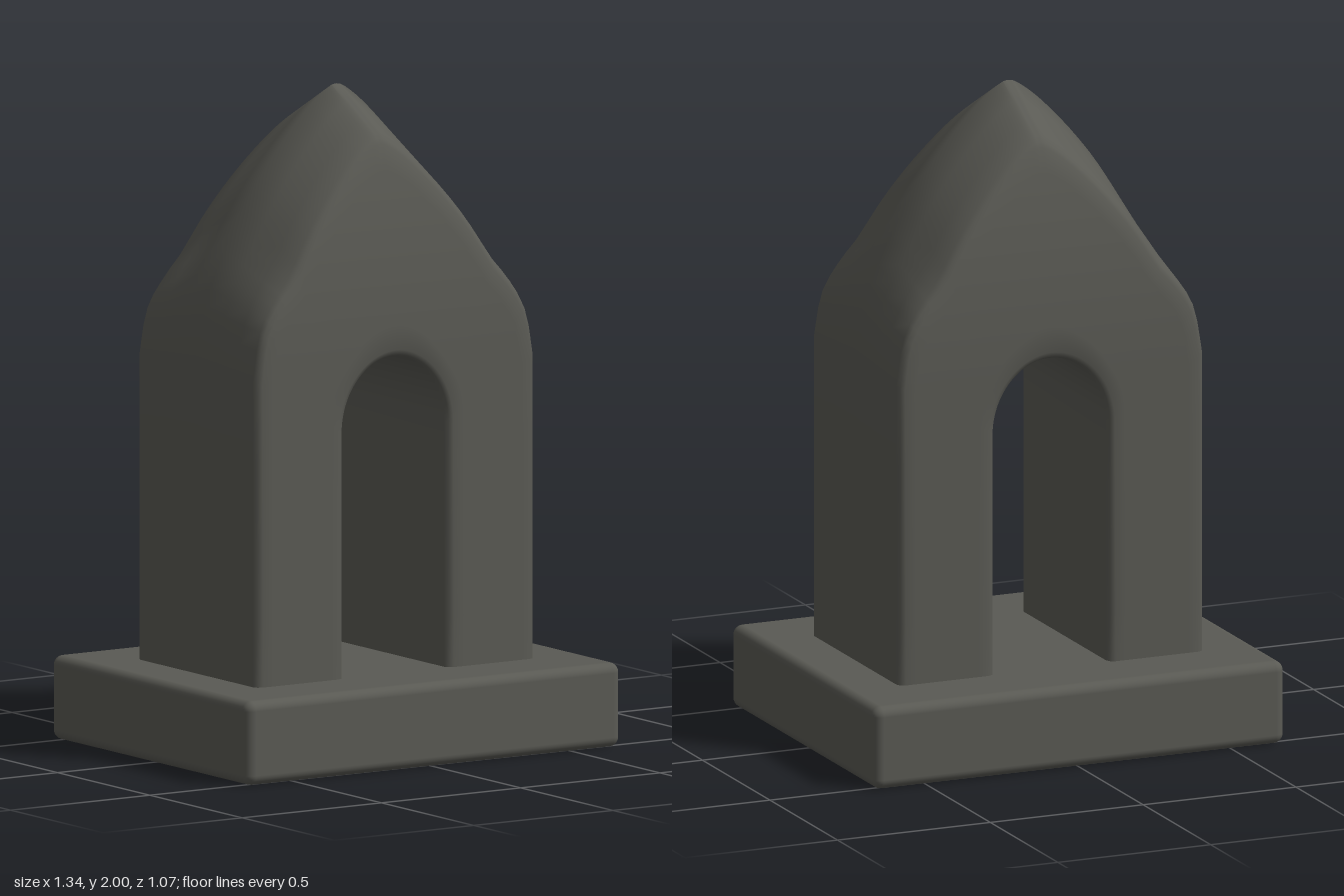
import * as THREE from 'three';
import { toCreasedNormals } from 'three/addons/utils/BufferGeometryUtils.js';
import { RoundedBoxGeometry } from 'three/addons/geometries/RoundedBoxGeometry.js';

const BEVEL = 0.022;

// Half thickness of the arch: straight legs, tapering towards the top
function halfDepth(y) {
  const t = Math.max(0, (y - 1.15) / 0.72);
  return 0.326 - 0.091 * Math.pow(t, 2.2);
}

// Matching stations along the opening and the outer outline, for the +x half
function halfStations() {
  const list = [0, 0.25, 0.5, 0.75].map((t) => ({
    inner: [0.186, 0.2 + 0.8 * t], outer: [0.5, 0.2 + 0.98 * t], drop: 0,
  }));
  const outline = new THREE.SplineCurve([
    [0.5, 1.18], [0.472, 1.36], [0.4, 1.53], [0.3, 1.7], [0.2, 1.83],
    [0.1, 1.935], [0.03, 1.99], [0, 2],
  ].map(([x, y]) => new THREE.Vector2(x, y)));
  const steps = 21;
  for (let i = 0; i <= steps; i++) {
    const t = i / steps;
    const a = (t * Math.PI) / 2;
    const p = outline.getPoint(t);
    list.push({
      inner: [0.186 * Math.cos(a), 1.0 + 0.213 * Math.sin(a)],
      outer: [p.x, p.y],
      drop: 0.13 * Math.min(1, Math.pow((0.5 - p.x) / 0.14, 0.8)),
    });
  }
  return list;
}

// Closed cross-section from opening to outer face, front half then mirrored back half
function section({ inner, outer, drop }) {
  const edge = [outer[0], outer[1] - drop];
  const length = Math.hypot(edge[0] - inner[0], edge[1] - inner[1]);
  const front = [];
  const facePoint = (u, inset) => {
    const y = inner[1] + (edge[1] - inner[1]) * u;
    front.push([inner[0] + (edge[0] - inner[0]) * u, y, halfDepth(y) - inset]);
  };
  const b = BEVEL / length;
  facePoint(0, BEVEL);
  facePoint(0.3 * b, 0.3 * BEVEL);
  for (let k = 0; k <= 8; k++) facePoint(b + (1 - 2 * b) * (k / 8), 0);
  facePoint(1 - 0.3 * b, 0.3 * BEVEL);
  // Outer surface rises from the front edge to the crown at z = 0
  const d = halfDepth(edge[1]);
  for (const f of [1 - BEVEL / d, 0.66, 0.33]) {
    front.push([outer[0], outer[1] - drop * f, d * f]);
  }
  const back = front.slice().reverse().map(([x, y, z]) => [x, y, -z]);
  return [...front, [outer[0], outer[1], 0], ...back];
}

function archGeometry() {
  const half = halfStations();
  const mirrored = half.slice(0, -1).reverse().map((s) => ({
    inner: [-s.inner[0], s.inner[1]], outer: [-s.outer[0], s.outer[1]], drop: s.drop,
  }));
  const rings = [...half, ...mirrored].map(section);
  const n = rings[0].length;
  const index = [];
  for (let i = 0; i < rings.length - 1; i++) {
    for (let j = 0; j < n; j++) {
      const a = i * n + j, b = i * n + ((j + 1) % n);
      index.push(a, b, b + n, a, b + n, a + n);
    }
  }
  const geometry = new THREE.BufferGeometry();
  geometry.setAttribute('position', new THREE.Float32BufferAttribute(rings.flat(2), 3));
  geometry.setIndex(index);
  return toCreasedNormals(geometry, 0.95);
}

export function createModel() {
  const stone = new THREE.MeshStandardMaterial({ color: 0x5a5a54 });
  stone.name = 'dark stone';
  const group = new THREE.Group();
  group.name = 'pointedArchMonument';

  // Base slab with softened edges
  const base = new THREE.Mesh(new RoundedBoxGeometry(1.344, 0.255, 1.072, 4, 0.03), stone);
  base.name = 'base';
  base.position.y = 0.1275;
  group.add(base);

  // Pointed arch whose legs sink into the base
  const arch = new THREE.Mesh(archGeometry(), stone);
  arch.name = 'pointedArch';
  group.add(arch);
  return group;
}
